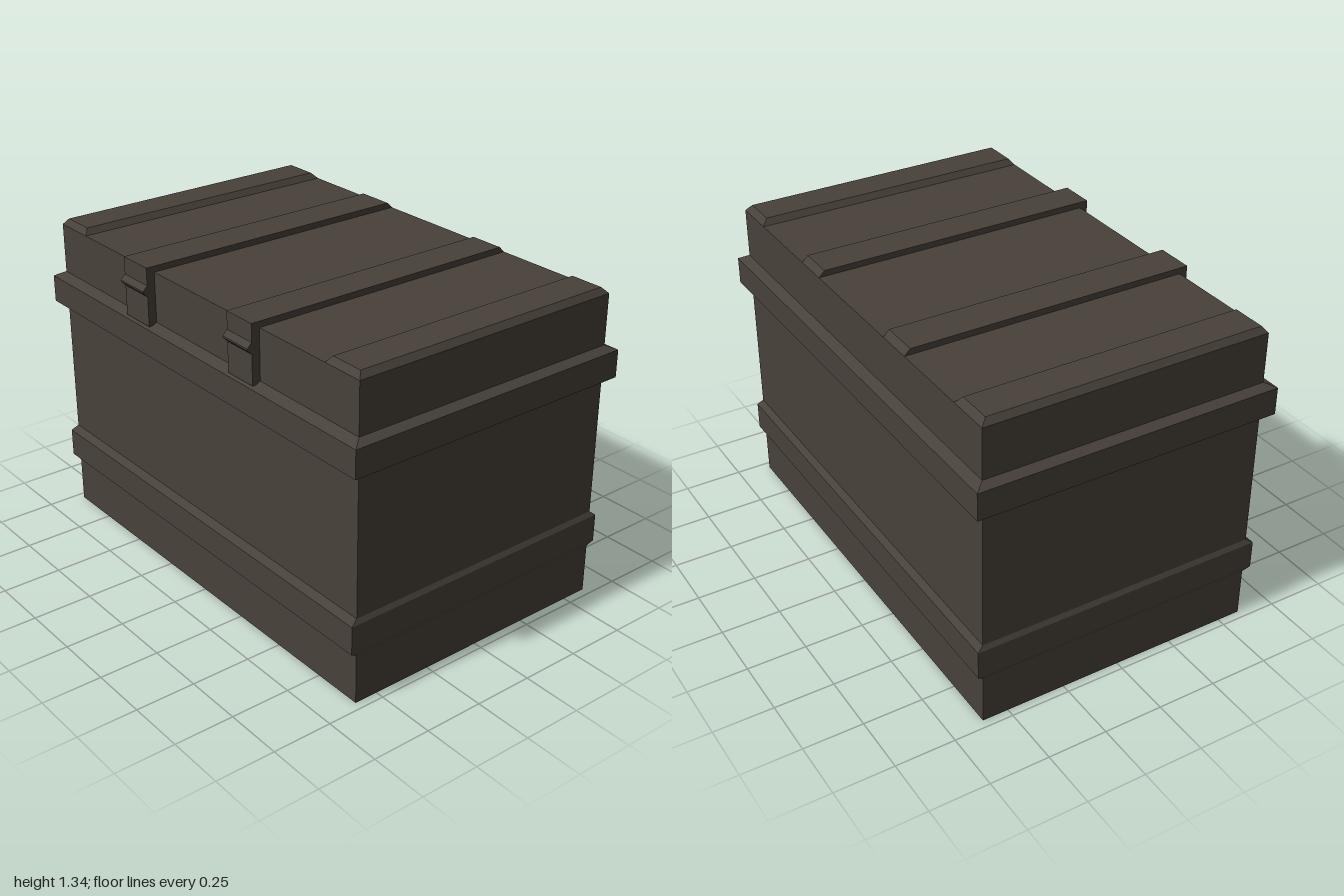
import * as THREE from 'three';

const paint = new THREE.MeshStandardMaterial({ color: 0x48413a });
paint.name = 'darkBrownGrey';

// Solid lofted through level rectangles, each [y, x0, x1, z0, z1], bottom to top
function loft(name, levels) {
  const pos = [];
  const rings = levels.map(([y, x0, x1, z0, z1]) =>
    [[x0, y, z1], [x1, y, z1], [x1, y, z0], [x0, y, z0]]);
  const quad = (a, b, c, d) => pos.push(...a, ...b, ...c, ...a, ...c, ...d);
  for (let i = 0; i + 1 < rings.length; i++) {
    for (let k = 0; k < 4; k++) {
      const n = (k + 1) % 4;
      quad(rings[i][k], rings[i][n], rings[i + 1][n], rings[i + 1][k]);
    }
  }
  const base = rings[0], top = rings[rings.length - 1];
  quad(base[3], base[2], base[1], base[0]);
  quad(top[0], top[1], top[2], top[3]);
  const geo = new THREE.BufferGeometry();
  geo.setAttribute('position', new THREE.Float32BufferAttribute(pos, 3));
  geo.computeVertexNormals();
  const mesh = new THREE.Mesh(geo, paint);
  mesh.name = name;
  return mesh;
}

const W = 0.965, BACK = -0.61, FRONT = 0.6, LID = 1.31, TOP = 1.335;

// Bevelled band running all round the box
function band(name, y0, y1, x, back, front) {
  const inner = [-W, W, BACK, FRONT], outer = [-x, x, back, front];
  return loft(name, [[y0, ...inner], [y0 + 0.02, ...outer], [y1 - 0.02, ...outer], [y1, ...inner]]);
}

// Strap over the lid and down the front, with a pointed catch; drawn in (z, y)
function strap(name, x0, x1) {
  const s = new THREE.Shape();
  [[BACK, 1.09], [BACK, LID], [-0.585, TOP], [0.635, TOP], [0.635, 1.262],
    [0.655, 1.242], [0.655, 1.235], [0.635, 1.215], [0.635, 1.09]]
    .forEach(([z, y], i) => (i ? s.lineTo(z, y) : s.moveTo(z, y)));
  const geo = new THREE.ExtrudeGeometry(s, { depth: x1 - x0, bevelEnabled: false });
  geo.rotateY(-Math.PI / 2); // shape x -> z, depth -> -x
  geo.translate(x1, 0, 0);
  const mesh = new THREE.Mesh(geo, paint);
  mesh.name = name;
  return mesh;
}

export function createModel() {
  const crate = new THREE.Group();
  crate.name = 'crate';

  // Box with its lid
  crate.add(loft('body', [[0, -W, W, BACK, FRONT], [1.02, -W, W, BACK, FRONT]]));
  crate.add(loft('lid', [[1.02, -W, W, BACK, FRONT], [LID, -W, W, BACK, FRONT]]));

  // Bands
  crate.add(band('lowerBand', 0.21, 0.37, 0.975, -0.635, 0.63));
  crate.add(band('lidBand', 0.945, 1.1, 1, -0.65, 0.643));

  // Raised ribs at both ends of the lid
  for (const side of [-1, 1]) {
    const [a, b] = side < 0 ? [-W, -0.78] : [0.78, W];
    const c = 0.02;
    crate.add(loft(side < 0 ? 'rightRib' : 'leftRib', [
      [LID, a, b, BACK, FRONT],
      [TOP, a + c, b - c, BACK + 0.025, FRONT - c],
    ]));
  }

  // Latch straps
  crate.add(strap('rightStrap', -0.43, -0.27));
  crate.add(strap('leftStrap', 0.26, 0.41));
  return crate;
}
